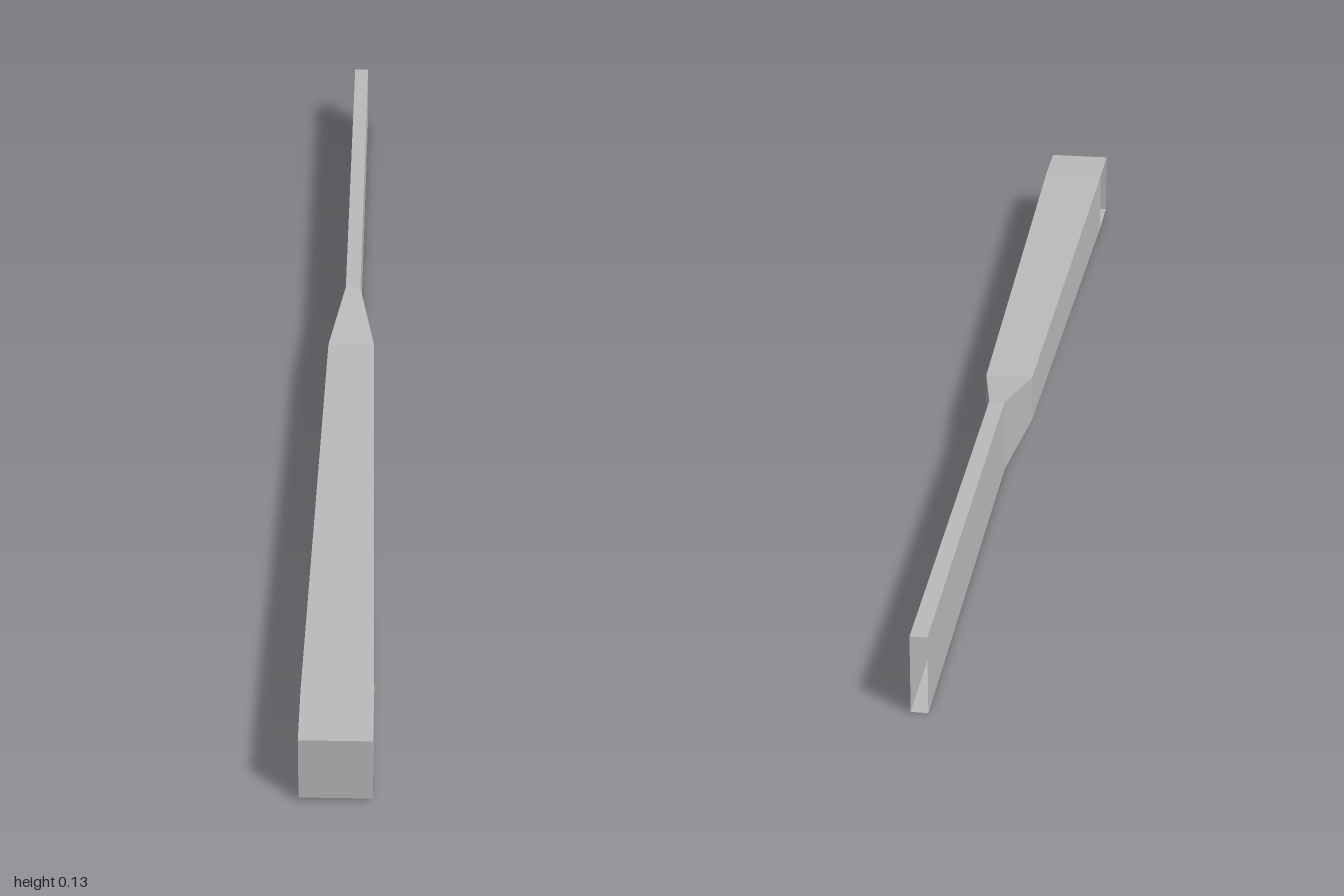
import * as THREE from 'three';

// Cross-sections along the duct: z, half width, bottom, top
const SECTIONS = [
  [1.0, 0.055, 0.007, 0.12],
  [0.89, 0.055, 0.007, 0.12],
  [-0.05, 0.04, 0.024, 0.104],
  [-0.2, 0.013, 0, 0.126],
  [-1.0, 0.013, 0, 0.126],
];

// Corners run counter-clockwise seen from +z
function corners([z, w, y0, y1]) {
  return [[-w, y0, z], [w, y0, z], [w, y1, z], [-w, y1, z]];
}

// Flat panels from quads with counter-clockwise corners
function panel(name, quads, material) {
  const positions = [];
  for (const [a, b, c, d] of quads) positions.push(...a, ...b, ...c, ...a, ...c, ...d);
  const geometry = new THREE.BufferGeometry();
  geometry.setAttribute('position', new THREE.Float32BufferAttribute(positions, 3));
  geometry.computeVertexNormals();
  const mesh = new THREE.Mesh(geometry, material);
  mesh.name = name;
  return mesh;
}

export function createModel() {
  const model = new THREE.Group();
  model.name = 'duct';
  const metal = new THREE.MeshStandardMaterial({ color: 0xbbbbbb, side: THREE.DoubleSide });
  metal.name = 'grey metal';
  const rings = SECTIONS.map(corners);

  // Four long walls; the right one starts behind a side opening at the front
  ['floor', 'leftWall', 'ceiling', 'rightWall'].forEach((name, k) => {
    const next = (k + 1) % 4;
    const quads = [];
    for (let i = name === 'rightWall' ? 1 : 0; i < rings.length - 1; i++) {
      const front = rings[i], back = rings[i + 1];
      quads.push([front[next], front[k], back[k], back[next]]);
    }
    model.add(panel(name, quads, metal));
  });

  // Closed front end; the rear end stays open
  model.add(panel('frontCap', [rings[0]], metal));
  return model;
}
